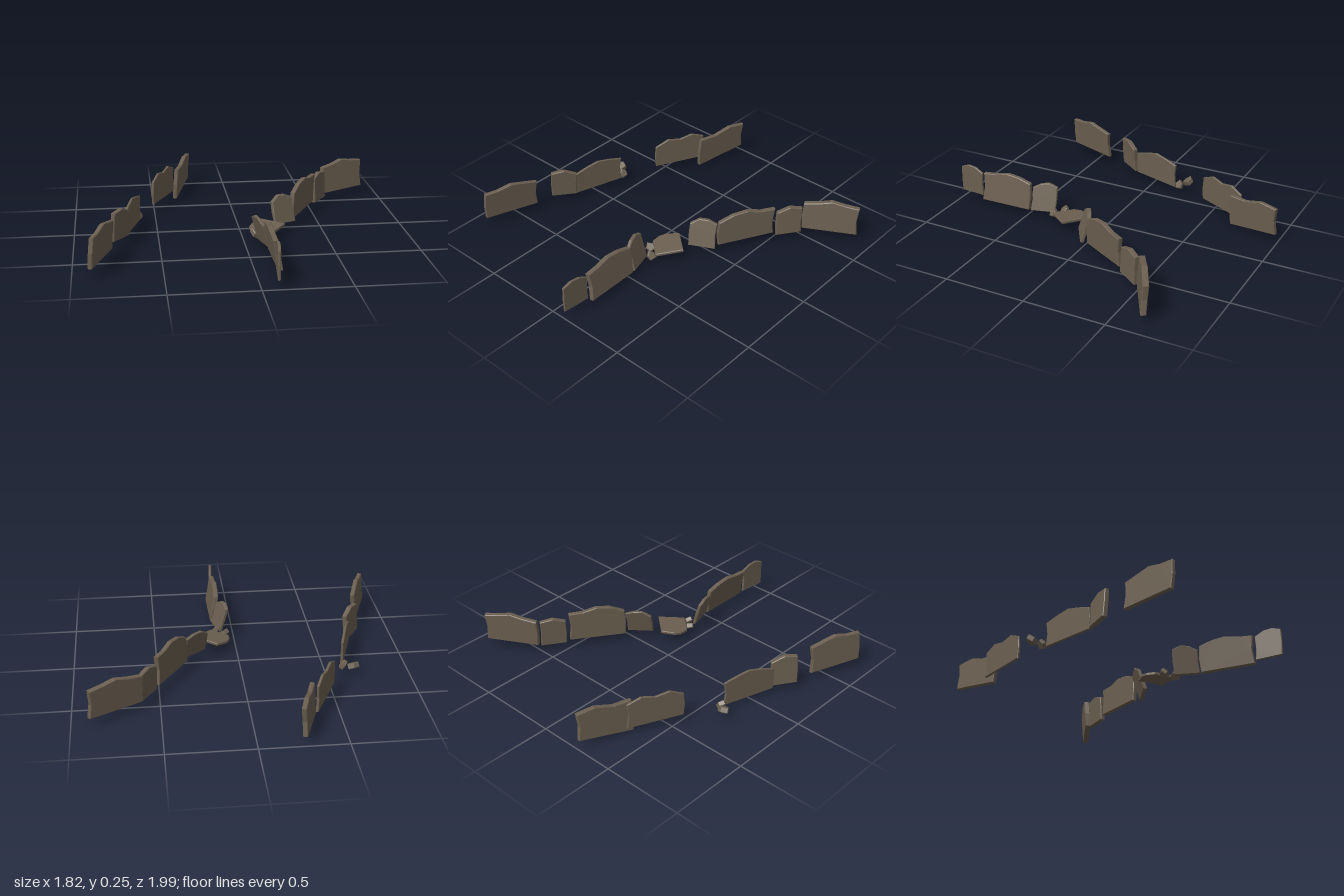
import * as THREE from 'three';

const stone = new THREE.MeshStandardMaterial({ color: 0x6b5f50 });
stone.name = 'weathered stone';

// Extrudes an outline to a thickness, centred on its own plane, with worn edges.
function plate(points, thick) {
  const bevel = Math.min(0.004, thick * 0.2);
  const geo = new THREE.ExtrudeGeometry(new THREE.Shape(points), {
    depth: thick - 2 * bevel, bevelThickness: bevel, bevelSize: bevel,
    bevelOffset: -bevel, bevelSegments: 1,
  });
  return geo.translate(0, 0, bevel - thick / 2);
}

function part(name, geo) {
  const mesh = new THREE.Mesh(geo, stone);
  mesh.name = name;
  return mesh;
}

// Standing slab between plan points a and b [x, z]: base gives its two lower corners,
// top its evenly spaced upper heights, lean the [x, z] shift of the top.
function slab(name, a, b, base, top, thick, lean = [0, 0]) {
  const along = new THREE.Vector3(b[0] - a[0], 0, b[1] - a[1]);
  const length = along.length();
  along.normalize();
  const foot = 0.04;
  const point = (u, y) => new THREE.Vector2(u * length, y - foot);
  const last = top.length - 1;

  // Base corners, chipped far end, broken top, chipped near end
  const outline = [point(0, base[0]), point(1, base[1]), point(0.97, (base[1] + top[last]) / 2)];
  for (let i = last; i >= 0; i--) outline.push(point(i / last, top[i]));
  outline.push(point(-0.02, (base[0] + top[0]) / 2));

  const geo = plate(outline, thick);
  const up = new THREE.Vector3(lean[0] / 0.18, 1, lean[1] / 0.18);
  const out = new THREE.Vector3(-along.z, 0, along.x);
  geo.applyMatrix4(new THREE.Matrix4().makeBasis(along, up, out).setPosition(a[0], foot, a[1]));
  geo.computeVertexNormals();
  return part(name, geo);
}

// Small irregular five-sided chunk
function chunk(name, x, y, z, size, turn) {
  const outline = [];
  for (let i = 0; i < 5; i++) {
    const angle = (i / 5) * Math.PI * 2;
    const radius = size * (i % 2 ? 0.5 : 0.62);
    outline.push(new THREE.Vector2(Math.cos(angle) * radius, Math.sin(angle) * radius));
  }
  const mesh = part(name, plate(outline, size * 0.6));
  mesh.position.set(x, y, z);
  mesh.rotation.set(-1.1, turn, 0.3);
  return mesh;
}

// Slab lying almost flat, its +x side slightly raised
function fallenSlab() {
  const outline = [
    [0.125, -0.07], [0.06, -0.12], [0.04, -0.16], [0.04, -0.215], [0.145, -0.305], [0.253, -0.18],
  ].map(([x, y]) => new THREE.Vector2(x, y));
  const geo = plate(outline, 0.02).rotateX(-Math.PI / 2);
  const p = geo.attributes.position;
  for (let i = 0; i < p.count; i++) {
    p.setY(i, p.getY(i) + 0.073 + 0.08 * (p.getX(i) - p.getZ(i)));
  }
  geo.computeVertexNormals();
  return part('fallenSlab', geo);
}

export function createModel() {
  const model = new THREE.Group();
  model.name = 'brokenWalls';

  // Right-hand row, back to front
  model.add(
    slab('rightWallBack', [-0.35, -0.665], [-0.255, -0.985], [0, 0.05], [0.2, 0.2, 0.232, 0.222], 0.028, [0.012, 0]),
    slab('rightWallRear', [-0.507, -0.415], [-0.362, -0.72], [0.045, 0.04], [0.19, 0.228, 0.213, 0.232, 0.2], 0.016),
    slab('rightWallMiddle', [-0.7, 0.14], [-0.602, -0.18], [0.028, 0.028], [0.165, 0.193, 0.213, 0.2, 0.18], 0.016),
    slab('rightWallShort', [-0.777, 0.27], [-0.685, 0.14], [0.045, 0.04], [0.22, 0.23, 0.195], 0.03, [0.012, 0.006]),
    slab('rightWallFront', [-0.9, 0.71], [-0.787, 0.39], [0.05, 0.05], [0.23, 0.235, 0.255, 0.238, 0.22], 0.028, [0.014, 0.004]),
  );

  // Left-hand row, back to front
  model.add(
    slab('leftWallBack', [0.61, -0.51], [0.9, -0.672], [0.05, 0.05], [0.222, 0.234, 0.255, 0.238, 0.228], 0.034, [-0.005, -0.012]),
    slab('leftWallRearShort', [0.525, -0.36], [0.615, -0.49], [0.036, 0.034], [0.195, 0.22, 0.205], 0.03, [-0.006, -0.006]),
    slab('leftWallRear', [0.328, -0.045], [0.508, -0.345], [0.04, 0.055], [0.205, 0.243, 0.255, 0.235, 0.235], 0.03, [0.006, 0]),
    slab('leftWallLeaning', [0.208, 0.085], [0.342, -0.005], [0.05, 0.038], [0.18, 0.212, 0.208, 0.185], 0.024, [-0.025, -0.05]),
    slab('leftWallTilted', [0.083, 0.325], [0.125, 0.475], [0.04, 0.04], [0.19, 0.212, 0.205, 0.178], 0.022, [-0.052, 0.004]),
    slab('leftWallFront', [0.122, 0.485], [0.126, 0.82], [0.04, 0.038], [0.205, 0.228, 0.236, 0.218, 0.21], 0.03, [-0.028, 0]),
    slab('leftWallFrontEnd', [0.092, 0.995], [0.108, 0.83], [0.05, 0.052], [0.215, 0.236, 0.232, 0.205], 0.016),
  );

  // Collapsed stones in both rows
  model.add(
    fallenSlab(),
    chunk('rubbleRightOuter', -0.66, 0.06, -0.245, 0.058, 0.2),
    chunk('rubbleRightInner', -0.608, 0.048, -0.205, 0.05, 0.9),
    chunk('rubbleLeftOuter', 0.065, 0.06, 0.265, 0.052, 0.5),
    chunk('rubbleLeftInner', 0.118, 0.055, 0.315, 0.05, 0.8),
  );
  return model;
}
